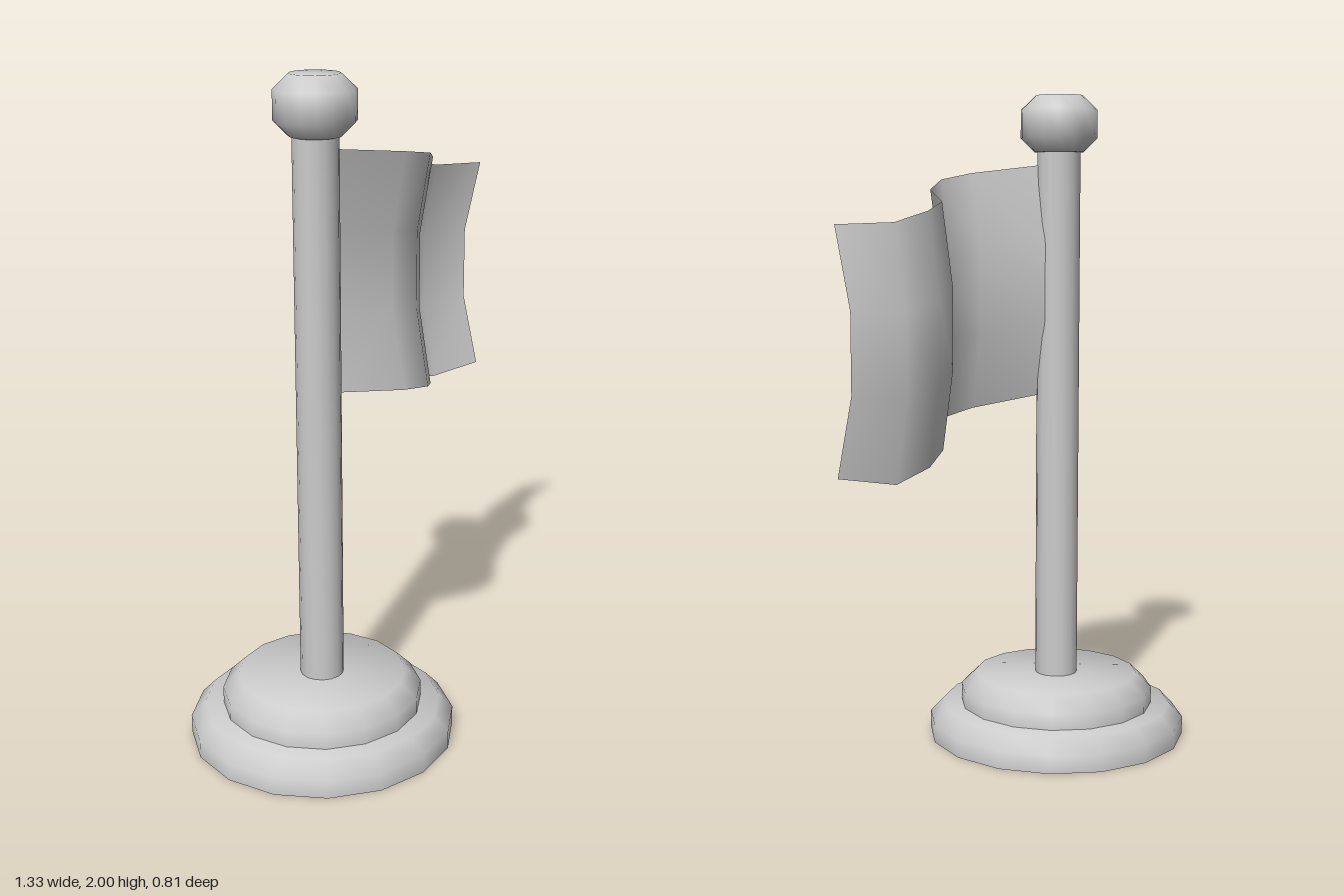
import * as THREE from 'three';
import { toCreasedNormals } from 'three/addons/utils/BufferGeometryUtils.js';

const POLE_X = -0.265;
const SIDES = 16;

// Turned part around the pole axis; profile is [radius, y] from bottom to top
function turned(name, profile, material) {
  const points = profile.map(([r, y]) => new THREE.Vector2(r, y));
  const geometry = toCreasedNormals(new THREE.LatheGeometry(points, SIDES), Math.PI / 3);
  const mesh = new THREE.Mesh(geometry, material);
  mesh.name = name;
  mesh.position.x = POLE_X;
  return mesh;
}

// Waving sheet: columns follow the top edge, rows bow backwards between top and bottom
function flagGeometry() {
  // x, z, top y, bottom y
  const columns = [
    [-0.21, 0.035, 1.79, 1.085],
    [0.0, 0.1, 1.765, 1.055],
    [0.12, 0.093, 1.745, 1.035],
    [0.21, 0.03, 1.715, 1.01],
    [0.27, -0.1, 1.68, 0.975],
    [0.375, -0.172, 1.655, 0.945],
    [0.51, -0.198, 1.625, 0.915],
    [0.662, -0.138, 1.62, 0.94],
  ];
  const across = columns.length - 1;
  const down = 3;
  const geometry = new THREE.PlaneGeometry(1, 1, across, down);
  const position = geometry.attributes.position;
  for (let row = 0; row <= down; row++) {
    const inner = row > 0 && row < down ? 1 : 0;
    columns.forEach(([x, z, top, bottom], i) => {
      const pull = i === 0 ? 0.01 : i === across ? -0.015 : 0;
      position.setXYZ(
        row * (across + 1) + i,
        x + inner * pull,
        THREE.MathUtils.lerp(top, bottom, row / down),
        z - inner * 0.047
      );
    });
  }
  geometry.computeVertexNormals();
  return geometry;
}

export function createModel() {
  const group = new THREE.Group();
  group.name = 'flagOnStand';
  const grey = new THREE.MeshStandardMaterial({ color: 0xcccccc });
  const cloth = new THREE.MeshStandardMaterial({ color: 0xcccccc, side: THREE.DoubleSide });

  // Two-step round base with chamfered rims
  group.add(turned('lowerBase', [[0, 0], [0.403, 0], [0.403, 0.055], [0.36, 0.1], [0, 0.1]], grey));
  group.add(turned('upperBase', [[0, 0.09], [0.303, 0.09], [0.303, 0.15], [0.255, 0.197], [0, 0.197]], grey));

  // Pole and its rounded cap
  group.add(turned('pole', [[0.066, 0.19], [0.066, 1.84]], grey));
  group.add(turned('finial', [[0, 1.83], [0.075, 1.83], [0.117, 1.872], [0.117, 1.957], [0.072, 2], [0, 2]], grey));

  // Cloth
  const flag = new THREE.Mesh(flagGeometry(), cloth);
  flag.name = 'flag';
  group.add(flag);

  return group;
}
